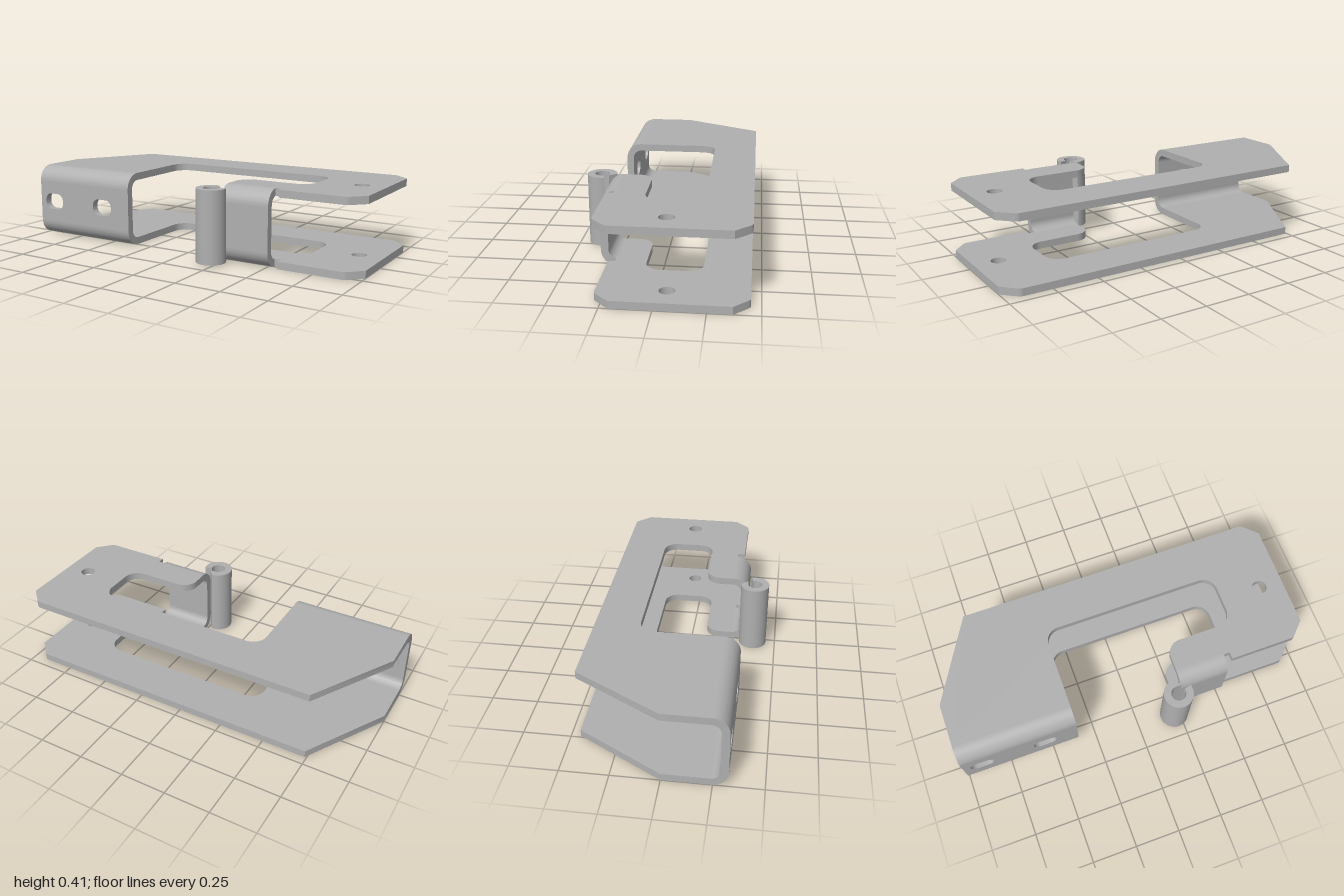
import * as THREE from 'three';
import { toCreasedNormals } from 'three/addons/utils/BufferGeometryUtils.js';

const H = 0.41, T = 0.04;          // overall height, sheet thickness
const FRONT = 0.327, R = 0.087;    // outer face of the front webs, outer bend radius
const BEND = FRONT - R;            // z where the plates meet the bends

const steel = new THREE.MeshStandardMaterial({ color: 0xb0b0b0 });
steel.name = 'plain steel';

function extrude(shape, depth, curveSegments = 12) {
  return new THREE.ExtrudeGeometry(shape, { depth, bevelEnabled: false, curveSegments });
}

function addPart(parent, name, geometry) {
  const mesh = new THREE.Mesh(toCreasedNormals(geometry, 0.6), steel);
  mesh.name = name;
  parent.add(mesh);
  return mesh;
}

// Plan outline of a plate, drawn with shape y = -z
function plateShape() {
  const s = new THREE.Shape();
  const to = (x, z) => s.lineTo(x, -z);
  const round = (cx, cz, x, z) => s.quadraticCurveTo(cx, -cz, x, -z);
  const r = 0.08;
  s.moveTo(-1, 0);
  to(-1, BEND);
  to(-0.35, BEND);
  to(-0.35, -0.21 + r);
  s.absarc(-0.35 + r, 0.21 - r, r, Math.PI, Math.PI / 2, true);
  to(0.64 - r, -0.21);
  s.absarc(0.64 - r, 0.21 - r, r, Math.PI / 2, 0, true);
  to(0.64, 0.085 - r);
  s.absarc(0.64 - r, -0.085 + r, r, 0, -Math.PI / 2, true);
  to(0.25 + r, 0.085);
  s.absarc(0.25 + r, -0.085 - r, r, Math.PI / 2, Math.PI, false);
  to(0.25, BEND);
  to(0.525, BEND);
  to(0.525, 0.248);      // relief notch beside the bend
  to(0.56, 0.248);
  to(0.56, 0.285);
  to(0.91, 0.285);
  round(0.92, 0.285, 0.93, 0.277);
  to(1, 0.205);
  to(1, -0.37);
  to(0.93, -0.44);
  round(0.92, -0.45, 0.905, -0.45);
  to(-0.74, -0.45);
  s.closePath();
  const hole = new THREE.Path();
  hole.absarc(0.867, 0.055, 0.04, 0, Math.PI * 2, true);
  s.holes.push(hole);
  return s;
}

// Rounded slot through a web
function slot(cx, cy, w, h, r) {
  const p = new THREE.Path();
  const x = w / 2 - r, y = h / 2 - r;
  p.absarc(cx + x, cy + y, r, 0, Math.PI / 2, false);
  p.absarc(cx - x, cy + y, r, Math.PI / 2, Math.PI, false);
  p.absarc(cx - x, cy - y, r, Math.PI, Math.PI * 1.5, false);
  p.absarc(cx + x, cy - y, r, Math.PI * 1.5, Math.PI * 2, false);
  p.closePath();
  return p;
}

// Front wall with a quarter bend into each plate
function bentWeb(name, x0, x1, slots) {
  const g = new THREE.Group();
  g.name = name;
  const wall = new THREE.Shape();
  wall.moveTo(x0, R);
  wall.lineTo(x1, R);
  wall.lineTo(x1, H - R);
  wall.lineTo(x0, H - R);
  wall.closePath();
  wall.holes.push(...slots);
  addPart(g, name + 'Wall', extrude(wall, T).translate(0, 0, FRONT - T));
  // Bend section drawn with shape x = -z
  for (const [end, cy, a0, a1] of [
    ['Upper', H - R, Math.PI / 2, Math.PI],
    ['Lower', R, Math.PI, Math.PI * 1.5],
  ]) {
    const s = new THREE.Shape();
    s.absarc(-BEND, cy, R, a0, a1, false);
    s.absarc(-BEND, cy, R - T, a1, a0, true);
    s.closePath();
    const geo = extrude(s, x1 - x0).rotateY(Math.PI / 2).translate(x0, 0, 0);
    addPart(g, name + end + 'Bend', geo);
  }
  return g;
}

// Rolled knuckle, open beside the short web
function knuckle() {
  const cx = 0.217, cz = 0.367, ro = 0.08, end = Math.PI * 2 + 0.3;
  const s = new THREE.Shape();
  s.moveTo(0.25, -cz + ro);
  s.absarc(cx, -cz, ro, Math.PI / 2, end, false);
  s.absarc(cx, -cz, ro - T, end, Math.PI / 2, true);
  s.lineTo(0.25, -cz + ro - T);
  s.closePath();
  return extrude(s, 0.39, 32).rotateX(-Math.PI / 2).translate(0, 0.01, 0);
}

export function createModel() {
  const model = new THREE.Group();
  model.name = 'hingeBracket';

  for (const [name, y] of [['lowerPlate', 0], ['upperPlate', H - T]]) {
    addPart(model, name, extrude(plateShape(), T).rotateX(-Math.PI / 2).translate(0, y, 0));
  }

  const slots = [-0.897, -0.538].map((x) => slot(x, H / 2, 0.13, 0.092, 0.04));
  model.add(bentWeb('mountingWeb', -1, -0.35, slots));
  model.add(bentWeb('hingeWeb', 0.25, 0.525, []));
  addPart(model, 'hingeKnuckle', knuckle());

  return model;
}
